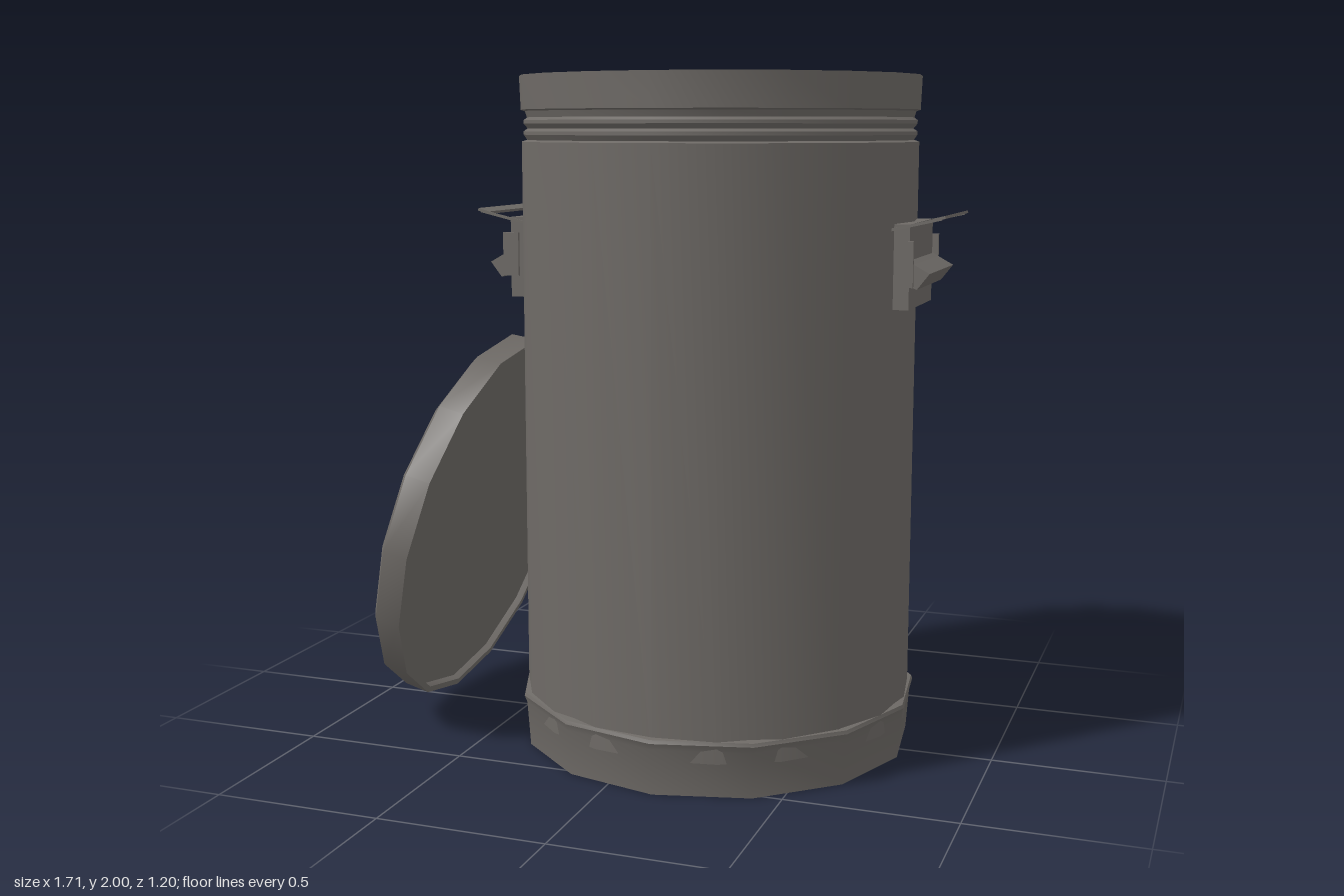
import * as THREE from 'three';
import { toCreasedNormals } from 'three/addons/utils/BufferGeometryUtils.js';

export function createModel() {
  const model = new THREE.Group();
  model.name = 'trashCan';
  const metal = new THREE.MeshStandardMaterial({ color: 0x6e6a66, side: THREE.DoubleSide });
  metal.name = 'dull grey metal';

  function add(parent, name, geometry) {
    const mesh = new THREE.Mesh(geometry, metal);
    mesh.name = name;
    parent.add(mesh);
    return mesh;
  }

  // Turned sheet-metal part from a profile of [radius, height]
  function turned(parent, name, profile, sides, crease) {
    const points = profile.map(([r, y]) => new THREE.Vector2(r, y));
    return add(parent, name, toCreasedNormals(new THREE.LatheGeometry(points, sides), crease));
  }

  // Straight flat strip between two points of the xy plane, centred on z
  function strip(parent, name, [x1, y1], [x2, y2], thick, z, width) {
    const geometry = new THREE.BoxGeometry(Math.hypot(x2 - x1, y2 - y1), thick, width);
    const mesh = add(parent, name, geometry);
    mesh.position.set((x1 + x2) / 2, (y1 + y2) / 2, z);
    mesh.rotation.z = Math.atan2(y2 - y1, x2 - x1);
    return mesh;
  }

  const can = new THREE.Group();
  can.name = 'can';
  can.position.x = 0.145;
  model.add(can);

  // Body: outer wall, ribbed neck, rim, inner wall and floor
  turned(can, 'body', [
    [0.588, 0.1], [0.588, 1.81], [0.572, 1.815], [0.582, 1.83], [0.582, 1.84],
    [0.57, 1.848], [0.582, 1.862], [0.582, 1.872], [0.572, 1.88], [0.578, 1.898],
    [0.59, 1.902], [0.594, 2], [0.574, 2], [0.568, 1.9], [0.568, 0.06], [0, 0.06],
  ], 20, 0.5);

  // Base band with a flared upper lip
  turned(can, 'base', [
    [0, 0], [0.59, 0], [0.6, 0.135], [0.608, 0.155], [0.604, 0.165], [0.57, 0.17],
  ], 13, 0.6);

  // Side handles, mirrored
  for (const side of [1, -1]) {
    const handle = new THREE.Group();
    handle.name = side > 0 ? 'leftHandle' : 'rightHandle';
    handle.rotation.y = side > 0 ? 0 : Math.PI;
    can.add(handle);

    const plate = add(handle, 'handlePlate', new THREE.BoxGeometry(0.045, 0.24, 0.32));
    plate.position.set(0.587, 1.465, 0);

    // Folded grip
    const fold = new THREE.Shape();
    [[0.6, 1.49], [0.625, 1.475], [0.67, 1.45], [0.635, 1.405], [0.6, 1.42]]
      .forEach(([x, y], i) => (i ? fold.lineTo(x, y) : fold.moveTo(x, y)));
    const grip = new THREE.ExtrudeGeometry(fold, { depth: 0.35, bevelEnabled: false });
    grip.translate(0, 0, -0.175);
    add(handle, 'grip', grip);

    // Raised bar, its thin arms and the end tabs
    strip(handle, 'bar', [0.675, 1.597], [0.71, 1.607], 0.008, 0, 0.35);
    for (const z of [-0.172, 0.172]) {
      strip(handle, 'barArm', [0.56, 1.57], [0.7, 1.602], 0.008, z, 0.006);
      const tab = add(handle, 'endTab', new THREE.BoxGeometry(0.05, 0.13, 0.008));
      tab.position.set(0.6, 1.475, z * 1.04);
    }
  }

  // Lid leaning against the can
  const lid = new THREE.Group();
  lid.name = 'lid';
  lid.position.set(-0.61, 0.615, 0);
  lid.rotation.z = 1.32;
  model.add(lid);
  turned(lid, 'lidShell', [
    [0, 0.02], [0.57, 0.02], [0.575, 0], [0.594, 0], [0.592, 0.08],
    [0.56, 0.1], [0.42, 0.142], [0.2, 0.154], [0, 0.157],
  ], 16, 0.5);

  // Bent lid handle
  const bend = [[0.094, 0.155], [0.047, 0.239], [-0.026, 0.241], [-0.093, 0.155]];
  for (let i = 0; i < 3; i++) {
    strip(lid, 'lidHandle', bend[i], bend[i + 1], 0.01, -0.02, 0.012);
  }
  return model;
}
